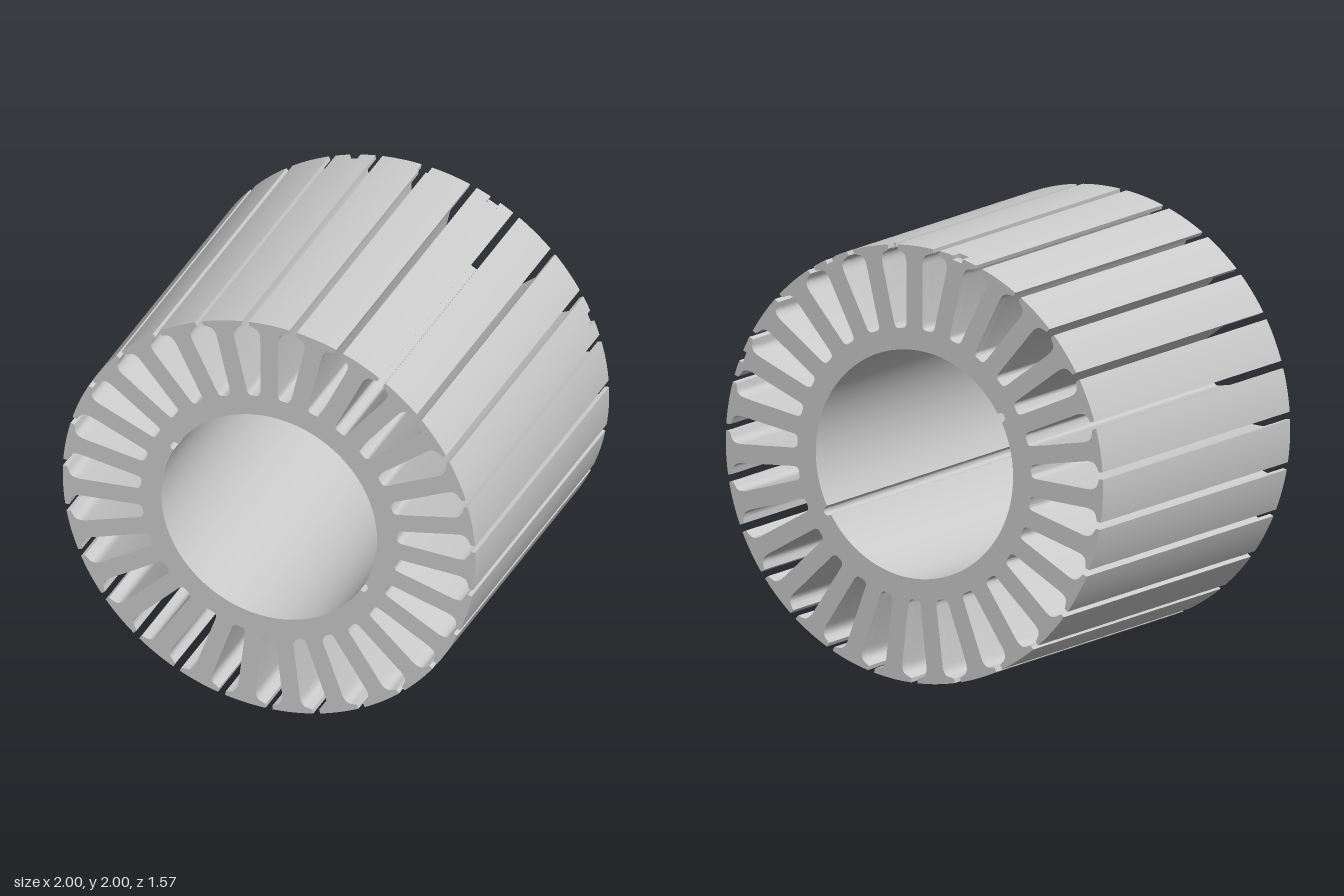
import * as THREE from 'three';
import { toCreasedNormals } from 'three/addons/utils/BufferGeometryUtils.js';

const TEETH = 27, STEP = (2 * Math.PI) / TEETH, HALF = STEP / 2;
const BORE = 0.523, ROOT = 0.62, NOTCH_R = 0.98, NOTCH_W = 0.026;
const END = 0.783, NOTCH_Z = -0.73;
const GAP = 0.017;                       // half width of the slot mouth
const NOTCHED_TEETH = [1, -2, -5];       // tooth 0 points up, counted anticlockwise
const ORIGIN = new THREE.Vector2();

const polar = (r, a) => new THREE.Vector2(r * Math.sin(a), r * Math.cos(a));

// Arc about the axis, measured from the tooth centre line
function rim(r, a0, a1, n = 5) {
  return Array.from({ length: n + 1 }, (_, i) => polar(r, a0 + ((a1 - a0) * i) / n));
}

// One side of a tooth, from the slot floor up to the middle of its tip
function halfTooth(gap, notched) {
  const edge = HALF - gap;
  const side = new THREE.Path();
  const floor = polar(ROOT, HALF);
  side.moveTo(floor.x, floor.y);
  side.lineTo(0.062, 0.617);
  side.quadraticCurveTo(0.042, 0.619, 0.042, 0.645);
  side.lineTo(0.043, 0.915);
  side.quadraticCurveTo(0.044, 0.963, 0.075, 0.968);
  const lip = polar(NOTCH_R, edge);
  side.lineTo(lip.x, lip.y);
  const pts = [...side.getPoints(6), ...rim(1, edge, notched ? NOTCH_W : 0)];
  if (notched) pts.push(polar(NOTCH_R, NOTCH_W), polar(NOTCH_R, 0));
  return pts;
}

// Cross-section of the core; the rear one carries the rim notches
function section(rear) {
  const pts = [];
  for (let i = 0; i < TEETH; i++) {
    const k = i > TEETH / 2 ? i - TEETH : i;
    const notched = rear && NOTCHED_TEETH.includes(k);
    const right = halfTooth(rear && k === 0 ? NOTCH_W : GAP, notched);
    const left = halfTooth(rear && k === -1 ? NOTCH_W : GAP, notched)
      .map((p) => new THREE.Vector2(-p.x, p.y)).reverse();
    // skip the points shared by neighbouring halves
    for (const p of [...right, ...left.slice(1, -1)]) pts.push(p.clone().rotateAround(ORIGIN, i * STEP));
  }
  const shape = new THREE.Shape(pts);

  // Bore with two opposite round keyways
  const bore = [], d = 0.043;
  for (const key of [(150 * Math.PI) / 180, (330 * Math.PI) / 180]) {
    for (let i = 0; i <= 10; i++) {
      const a = key - Math.PI / 2 + (i * Math.PI) / 10;
      bore.push(new THREE.Vector2(
        0.53 * Math.cos(key) + 0.021 * Math.cos(a),
        0.53 * Math.sin(key) + 0.021 * Math.sin(a)));
    }
    for (let i = 0; i <= 60; i++) {
      const a = key + d + ((Math.PI - 2 * d) * i) / 60;
      bore.push(new THREE.Vector2(BORE * Math.cos(a), BORE * Math.sin(a)));
    }
  }
  shape.holes.push(new THREE.Path(bore));
  return shape;
}

// Extrude between two depths, keeping only the outer end face
function slab(shape, z0, z1, faceZ) {
  const geo = new THREE.ExtrudeGeometry(shape, { depth: z1 - z0, bevelEnabled: false, steps: 1 });
  geo.translate(0, 0, z0);
  const p = geo.attributes.position, keep = [];
  for (let i = 0; i < p.count; i += 3) {
    const z = p.getZ(i);
    const flat = Math.abs(z - p.getZ(i + 1)) + Math.abs(z - p.getZ(i + 2)) < 1e-5;
    if (flat && Math.abs(z - faceZ) > 1e-3) continue;
    for (let j = i; j < i + 3; j++) keep.push(p.getX(j), p.getY(j), p.getZ(j));
  }
  const out = new THREE.BufferGeometry();
  out.setAttribute('position', new THREE.Float32BufferAttribute(keep, 3));
  return toCreasedNormals(out, 0.5);
}

export function createModel() {
  const group = new THREE.Group();
  group.name = 'slottedCore';
  const grey = new THREE.MeshStandardMaterial({ color: 0xcccccc });
  const thin = new THREE.MeshStandardMaterial({ color: 0xcccccc, side: THREE.DoubleSide });
  const add = (name, geo, mat = grey) => {
    const mesh = new THREE.Mesh(geo, mat);
    mesh.name = name;
    mesh.position.y = 1;
    group.add(mesh);
    return mesh;
  };

  add('coreBody', slab(section(false), NOTCH_Z, END, END));
  add('coreRearEnd', slab(section(true), -END, NOTCH_Z, -END));

  // End walls of the notches: on three teeth, and both lips of one slot
  const wall = (a0, a1, turn) => {
    const shape = new THREE.Shape([...rim(NOTCH_R, a0, a1), ...rim(1, a1, a0)]);
    const mesh = add('notchWall', new THREE.ShapeGeometry(shape), thin);
    mesh.position.z = NOTCH_Z;
    mesh.rotation.z = turn;
  };
  for (const k of NOTCHED_TEETH) wall(-NOTCH_W, NOTCH_W, k * STEP);
  for (const s of [-1, 1]) wall(s * GAP, s * NOTCH_W, -HALF);

  return group;
}
